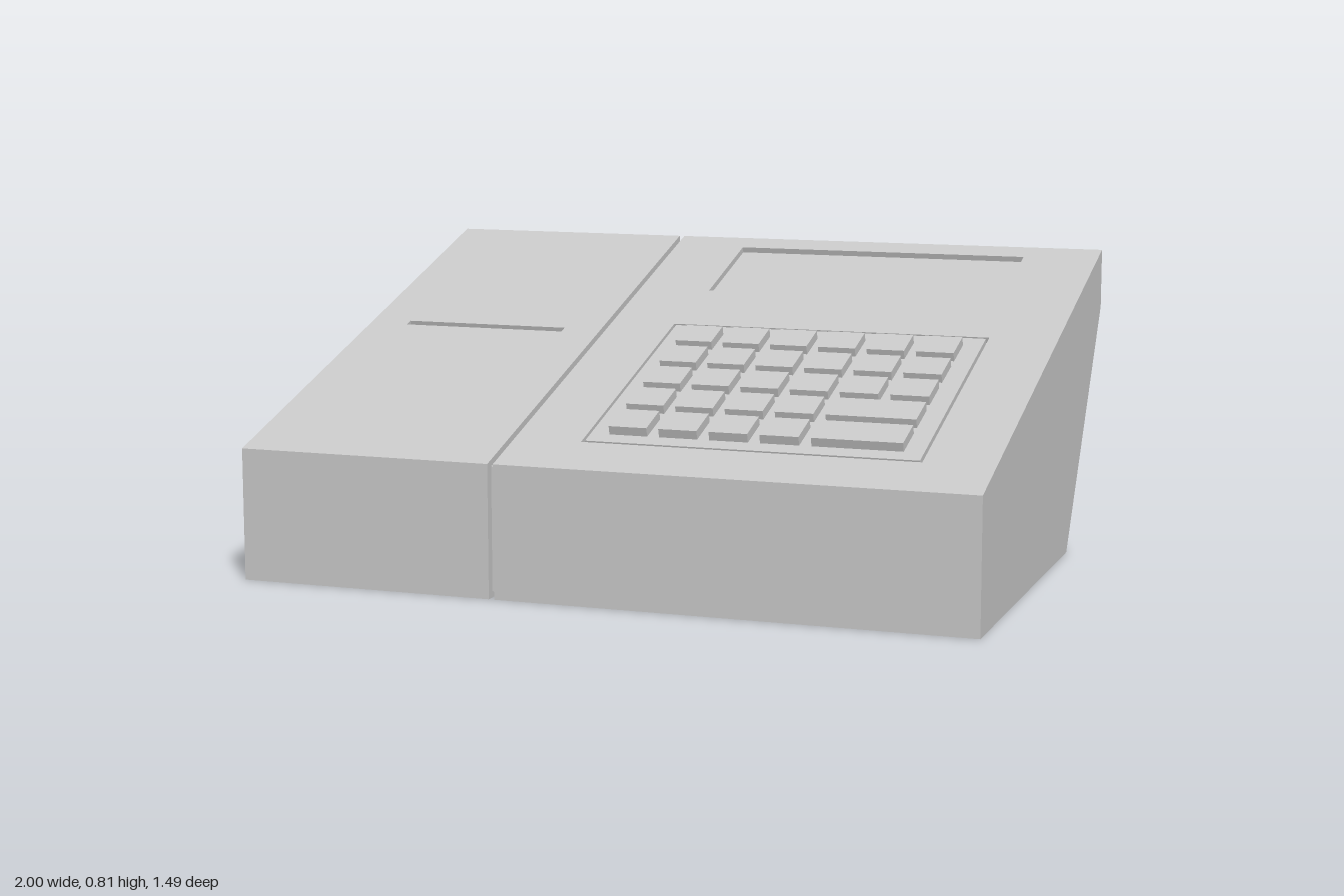
import * as THREE from 'three';

export function createModel() {
  const model = new THREE.Group();
  const casing = new THREE.MeshStandardMaterial({ color: 0xc8c8c8 });
  casing.name = 'light grey casing';

  // Main dimensions
  const FRONT = 0.745, LOW = 0.355, HIGH = 0.805;
  const slope = Math.atan2(HIGH - LOW, 2 * FRONT);
  const cos = Math.cos(slope), sin = Math.sin(slope);
  const length = 2 * FRONT / cos;
  const lip = 0.01, depth = 0.016;
  const alongSlope = z => (FRONT - z) / cos;
  const slopePoint = (v, n) => [FRONT - v * cos + n * sin, LOW + v * sin + n * cos];

  function add(parent, geometry, name) {
    const mesh = new THREE.Mesh(geometry, casing);
    mesh.name = name;
    parent.add(mesh);
    return mesh;
  }

  // Side profile of (z, y) points, extruded from x0 to x1
  function extrudeProfile(points, x0, x1, name) {
    const shape = new THREE.Shape(points.map(([z, y]) => new THREE.Vector2(-z, y)));
    const geometry = new THREE.ExtrudeGeometry(shape, { depth: x1 - x0, bevelEnabled: false });
    geometry.rotateY(Math.PI / 2).translate(x0, 0, 0);
    add(model, geometry, name);
  }

  // Rectangles on the sloping deck, given by x range and distance up the slope
  const corners = (x0, x1, v0, v1) => [
    new THREE.Vector2(x0, v0), new THREE.Vector2(x1, v0),
    new THREE.Vector2(x1, v1), new THREE.Vector2(x0, v1)];
  const deck = new THREE.Group();
  deck.name = 'slopingDeck';
  deck.position.set(0, LOW, FRONT);
  deck.rotation.x = slope - Math.PI / 2;
  model.add(deck);

  function plate(rect, holes, name) {
    const shape = new THREE.Shape(corners(...rect));
    shape.holes = holes.map(h => new THREE.Path(corners(...h).reverse()));
    const geometry = new THREE.ExtrudeGeometry(shape, { depth, bevelEnabled: false });
    add(deck, geometry.translate(0, 0, -depth), name);
  }

  // Two housings, each with a shallow bed for its top plate
  const housing = [
    [FRONT, 0], [FRONT, LOW],
    slopePoint(lip, 0), slopePoint(lip, -depth),
    slopePoint(length - lip, -depth), slopePoint(length - lip, 0),
    [-FRONT, HIGH], [-FRONT, 0.64], [-0.31, 0]];
  extrudeProfile(housing, -1, -0.295, 'printerHousing');
  extrudeProfile(housing, -0.28, 1, 'mainHousing');

  // Recessed core at the bottom of the seam
  extrudeProfile([[0.72, 0.016], [0.72, 0.345], [-0.72, 0.78], [-0.72, 0.645], [-0.3, 0.016]],
    -0.297, -0.278, 'seamCore');

  // Top plates with display recess, keypad groove and paper slot
  const v0 = lip, v1 = length - lip;
  const slot = [-0.885, -0.405, alongSlope(-0.045), alongSlope(-0.07)];
  const display = [-0.07, 0.785, alongSlope(-0.36), alongSlope(-0.675)];
  const pad = [-0.095, 0.812, alongSlope(0.597), alongSlope(-0.128)];
  const groove = 0.008;
  plate([-1, -0.295, v0, v1], [slot], 'printerTop');
  plate([-0.28, 1, v0, v1], [display, pad], 'mainTop');
  plate([pad[0] + groove, pad[1] - groove, pad[2] + groove, pad[3] - groove], [], 'keypadPanel');

  // Ramp inside the paper slot
  const ramp = new THREE.ExtrudeGeometry(new THREE.Shape([
    new THREE.Vector2(slot[2], -depth), new THREE.Vector2(slot[3], -depth),
    new THREE.Vector2(slot[2], 0)]), { depth: slot[1] - slot[0], bevelEnabled: false });
  ramp.applyMatrix4(new THREE.Matrix4().makeBasis(
    new THREE.Vector3(0, 1, 0), new THREE.Vector3(0, 0, 1), new THREE.Vector3(1, 0, 0)));
  add(deck, ramp.translate(slot[0], 0, 0), 'paperSlotRamp');

  // Keys: six columns, with a double-width key closing the two front rows
  const keys = new THREE.Group();
  keys.name = 'keys';
  deck.add(keys);
  const size = 0.104, pitch = 0.1365, height = 0.024;
  for (let row = 0; row < 5; row++) {
    const wideRow = row >= 3;
    for (let col = 0; col < (wideRow ? 5 : 6); col++) {
      const width = wideRow && col === 4 ? size + pitch : size;
      const key = add(keys, new THREE.BoxGeometry(width, size, height), 'key');
      key.position.set(-0.035 + col * pitch + width / 2, alongSlope(-0.024 + row * 0.1305), height / 2);
    }
  }
  return model;
}
